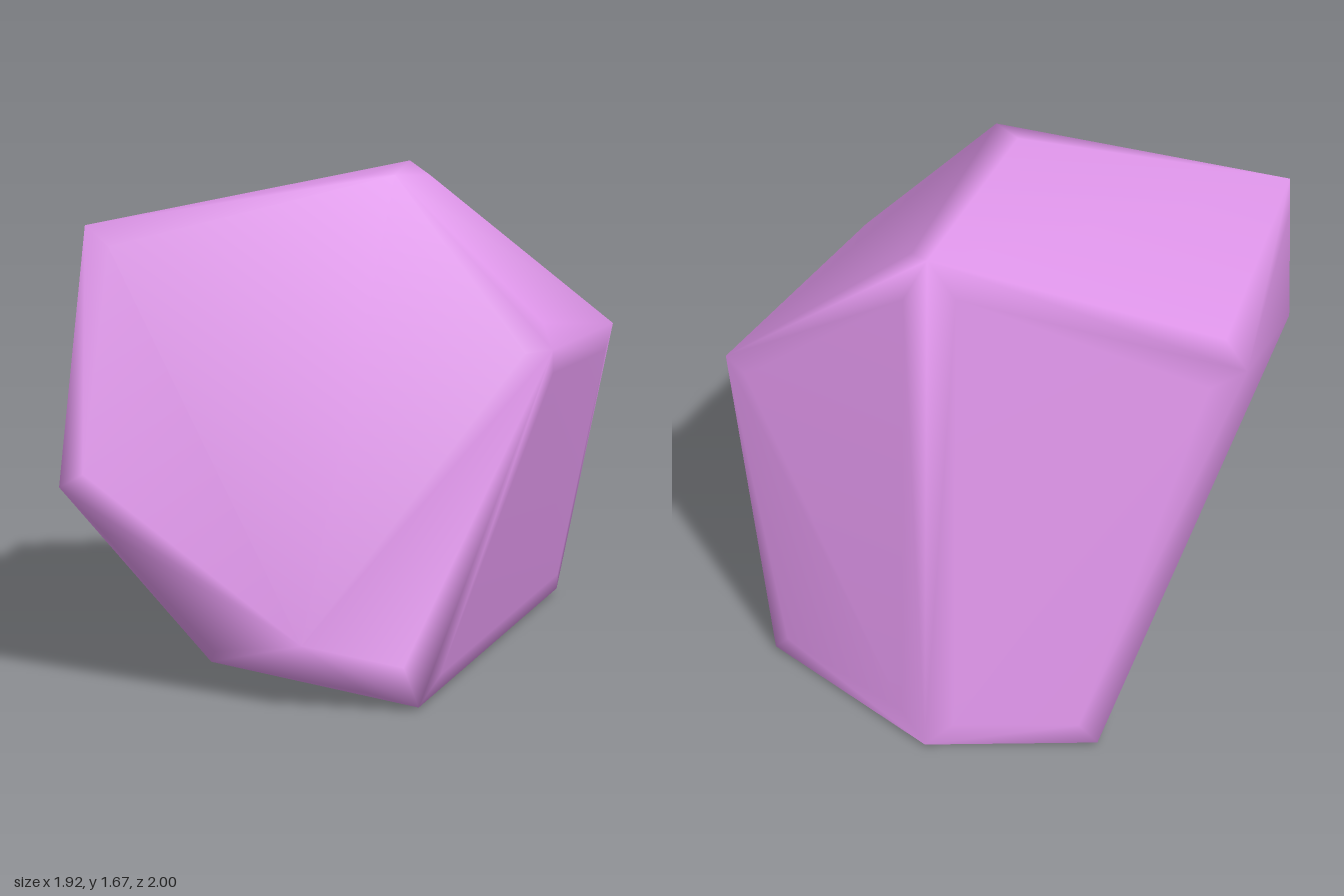
import * as THREE from 'three';
import { mergeVertices } from 'three/addons/utils/BufferGeometryUtils.js';
import { ConvexGeometry } from 'three/addons/geometries/ConvexGeometry.js';

// Main corners of the stone
const corners = {
  topFrontLeft: [-0.913, 1.49, 0.41],
  topFrontRight: [0.12, 1.655, 0.385],
  topBackRight: [0.22, 1.685, -0.535],
  topBackLeft: [-0.8, 1.38, -0.585],
  rightFront: [0.635, 1.085, 0.555],
  rightBack: [0.97, 1.085, -0.315],
  baseRight: [0.812, 0, -0.61],
  baseBack: [0.2, 0, -1.015],
  baseBackLeft: [-0.39, 0, -0.935],
  baseLeft: [-0.508, 0, 0.43],
  baseFront: [0.17, 0, 0.985],
  frontLow: [-0.2, 0.21, 1.015],
  frontLeft: [-0.975, 0.668, 0.747],
};

// Facets, each a loop of corners
const facets = [
  ['topFrontLeft', 'topFrontRight', 'topBackRight', 'topBackLeft'],
  ['topFrontRight', 'rightFront', 'rightBack', 'topBackRight'],
  ['rightFront', 'baseFront', 'baseRight', 'rightBack'],
  ['topFrontLeft', 'frontLeft', 'frontLow', 'baseFront', 'rightFront', 'topFrontRight'],
  ['frontLeft', 'baseLeft', 'baseFront', 'frontLow'],
  ['topBackLeft', 'baseBackLeft', 'baseLeft', 'frontLeft', 'topFrontLeft'],
  ['topBackRight', 'baseBack', 'baseBackLeft', 'topBackLeft'],
  ['topBackRight', 'rightBack', 'baseRight', 'baseBack'],
  ['baseRight', 'baseFront', 'baseLeft', 'baseBackLeft', 'baseBack'],
];

// Flat middle of each facet: its corners pulled inward along their two edges
function facetPoints(border) {
  const points = [];
  for (const facet of facets) {
    const loop = facet.map((name) => new THREE.Vector3(...corners[name]));
    loop.forEach((p, i) => {
      const q = p.clone();
      for (const step of [1, loop.length - 1]) {
        const edge = loop[(i + step) % loop.length].clone().sub(p).normalize();
        q.addScaledVector(edge, border);
      }
      points.push(q);
    });
  }
  return points;
}

// Worn corners: sunk slightly toward the middle of the stone
function cornerPoints(wear) {
  const middle = new THREE.Vector3(0, 0.84, 0);
  return Object.values(corners).map((c) => new THREE.Vector3(...c).lerp(middle, wear));
}

export function createModel() {
  const group = new THREE.Group();
  group.name = 'stone';

  let geometry = new ConvexGeometry([...facetPoints(0.1), ...cornerPoints(0.015)]);
  geometry.deleteAttribute('normal');
  geometry = mergeVertices(geometry, 1e-4);
  // Shared, area-weighted normals give softly rounded edges
  geometry.computeVertexNormals();

  const body = new THREE.Mesh(geometry, new THREE.MeshStandardMaterial({ color: 0xdd94e8 }));
  body.name = 'stoneBody';
  group.add(body);
  return group;
}
